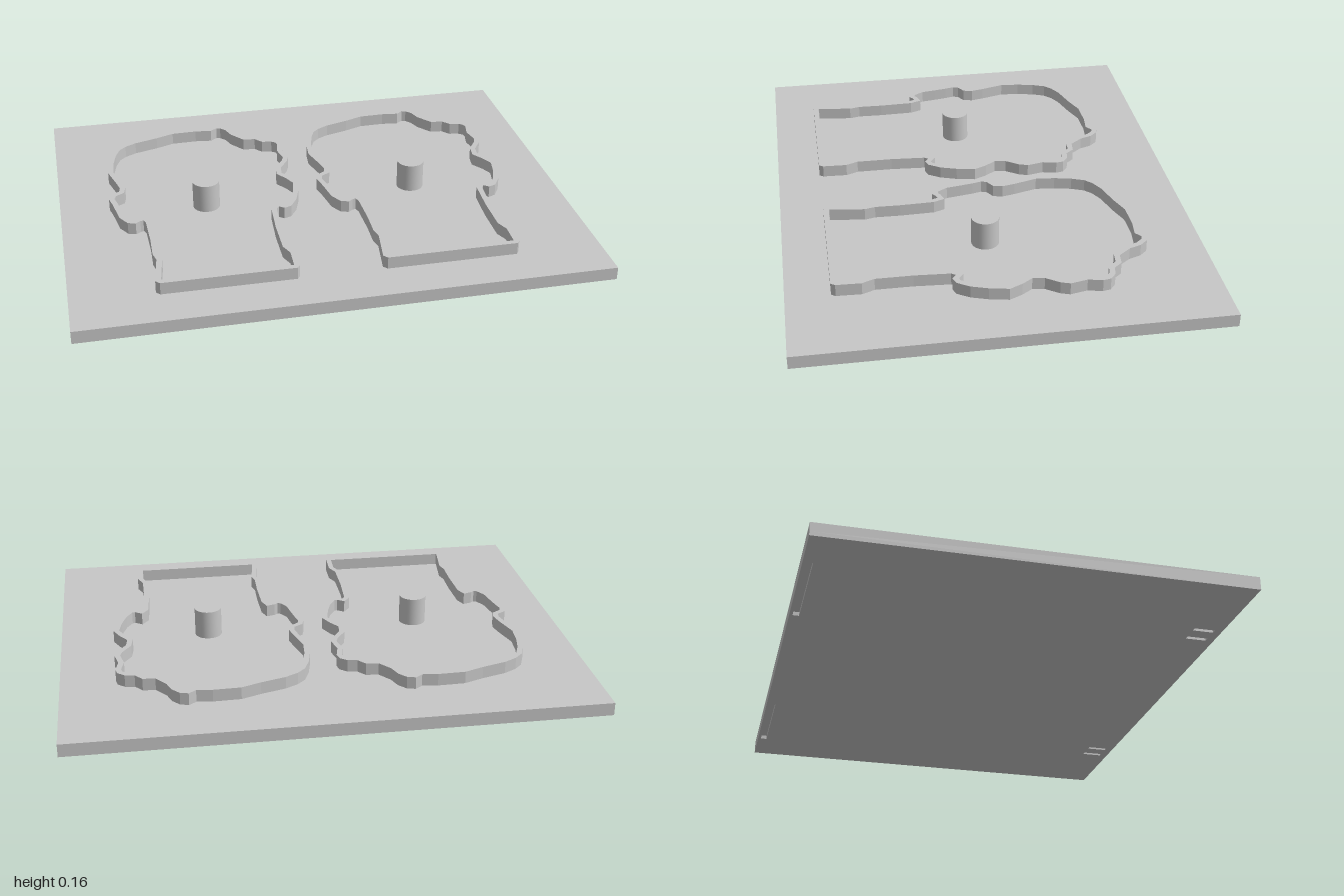
import * as THREE from 'three';

// Head-and-neck outline as x, z pairs in hundredths, measured from the peg
const OUTLINE = [
  -24.8, 59.8, -26.3, 58.2, -24.4, 44, -25.4, 40, -25.2, 30, -25.6, 17, -26.4, 14.8, -27.6, 15.2,
  -29.5, 16.6, -32.5, 15.7, -35.3, 11, -36.3, 5, -37.2, 0, -38.2, -4, -37.2, -7.5, -33.8, -9.6,
  -33.3, -12, -34.3, -16.5, -37, -26, -36.3, -34, -34.8, -41, -32.6, -46.5, -29.4, -49.7,
  -24.5, -52.4, -15, -55.3, -7.5, -58.2, 3, -58.5, 9, -57.8, 11.8, -59.9, 15, -59, 17.7, -56,
  19.4, -51.3, 23.2, -46.5, 28, -46, 30.7, -42.8, 34.4, -42.2, 37.1, -40, 37.7, -37, 36.5, -31.5,
  37.9, -25, 36.7, -21.5, 33.3, -16.5, 32.7, -12, 35.5, -8, 37.9, -3, 36.5, 4.3,
  34.4, 10.7, 31.5, 15.3, 28.6, 16.4, 26.6, 14.8, 25.5, 16.4, 24.7, 30, 24.7, 44, 26.7, 48.7,
  26.4, 58.2, 25.3, 59.8,
];
const PLATE_TOP = 0.05, WALL_TOP = 0.098, PEG_TOP = 0.163, WALL = 0.021, SLOT_DEPTH = 0.015;

// Extrudes a shape drawn in (x, -z) upwards from y = 0
function extrudeUp(shape, height) {
  return new THREE.ExtrudeGeometry(shape, { depth: height, bevelEnabled: false }).rotateX(-Math.PI / 2);
}

function rectangle(Type, x, z, width, length) {
  const w = width / 2, l = length / 2;
  return new Type([[-w, -l], [w, -l], [w, l], [-w, l]].map(([a, b]) => new THREE.Vector2(x + a, -z + b)));
}

// Moves every corner of a closed clockwise loop inwards by an even wall thickness
function inset(points, distance) {
  const n = points.length;
  const normal = (a, b) => {
    const d = b.clone().sub(a).normalize();
    return new THREE.Vector2(d.y, -d.x);
  };
  return points.map((p, i) => {
    const before = normal(points[(i + n - 1) % n], p);
    const after = normal(p, points[(i + 1) % n]);
    const mitre = before.clone().add(after).normalize();
    const stretch = 1 / Math.max(0.75, mitre.dot(after));
    return p.clone().addScaledVector(mitre, distance * stretch);
  });
}

export function createModel() {
  const model = new THREE.Group();
  const grey = new THREE.MeshStandardMaterial({ color: 0xc7c7c7 });
  grey.name = 'grey';
  const add = (name, geometry, x, y, z) => {
    const mesh = new THREE.Mesh(geometry, grey);
    mesh.name = name;
    mesh.position.set(x, y, z);
    model.add(mesh);
  };

  // Base plate: an underside layer with shallow slots, closed by a solid layer
  const underside = rectangle(THREE.Shape, 0, 0, 2, 1.58);
  for (const side of [-0.62, 0.62]) {
    underside.holes.push(rectangle(THREE.Path, side, -0.766, 0.4, 0.024));
    for (const dx of [-0.035, 0.035]) {
      underside.holes.push(rectangle(THREE.Path, side + dx, 0.72, 0.018, 0.08));
    }
  }
  add('plateUnderside', extrudeUp(underside, SLOT_DEPTH), 0, 0, 0);
  const thickness = PLATE_TOP - SLOT_DEPTH;
  add('plate', new THREE.BoxGeometry(2, thickness, 1.58), 0, SLOT_DEPTH + thickness / 2, 0);

  // Thin raised rim that follows the outline; the hole runs the other way round
  const outer = [];
  for (let i = 0; i < OUTLINE.length; i += 2) {
    outer.push(new THREE.Vector2(OUTLINE[i] / 100, -OUTLINE[i + 1] / 100));
  }
  const rim = new THREE.Shape(outer);
  rim.holes.push(new THREE.Path(inset(outer, WALL).reverse()));
  const rimGeometry = extrudeUp(rim, WALL_TOP - PLATE_TOP);
  const pegGeometry = new THREE.CylinderGeometry(0.053, 0.053, PEG_TOP - PLATE_TOP, 40);

  // Two identical rims, each with a peg inside
  for (const [name, x] of [['right', -0.425], ['left', 0.414]]) {
    add(name + 'Rim', rimGeometry, x, PLATE_TOP, 0.025);
    add(name + 'Peg', pegGeometry, x, (PLATE_TOP + PEG_TOP) / 2, 0.025);
  }
  return model;
}
